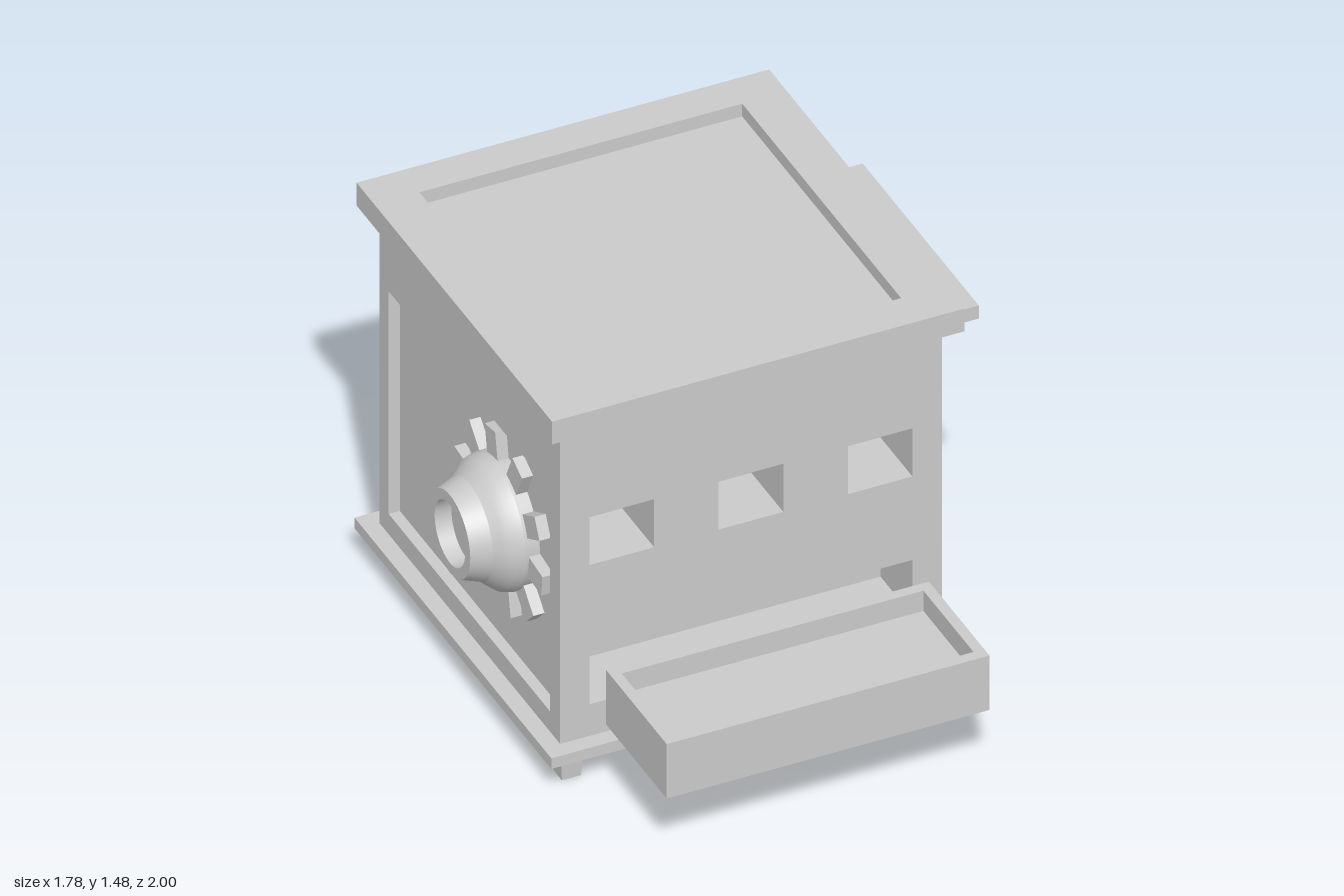
import * as THREE from 'three';

const material = new THREE.MeshStandardMaterial({ color: 0xcccccc, flatShading: true });
const smooth = new THREE.MeshStandardMaterial({ color: 0xcccccc, side: THREE.DoubleSide });

function add(parent, name, geometry, mat = material) {
  const mesh = new THREE.Mesh(geometry, mat);
  mesh.name = name;
  parent.add(mesh);
  return mesh;
}

// Box given by its minimum and maximum on each axis
function box(x0, x1, y0, y1, z0, z1) {
  return new THREE.BoxGeometry(x1 - x0, y1 - y0, z1 - z0)
    .translate((x0 + x1) / 2, (y0 + y1) / 2, (z0 + z1) / 2);
}

function rect(Type, a0, a1, b0, b1) {
  return new Type([[a0, b0], [a1, b0], [a1, b1], [a0, b1]].map(p => new THREE.Vector2(...p)));
}

// Rectangular slab pierced by rectangular holes, extruded along +z
function slab(outer, holes, depth) {
  const shape = rect(THREE.Shape, ...outer);
  shape.holes = holes.map(h => rect(THREE.Path, ...h));
  return new THREE.ExtrudeGeometry(shape, { depth, bevelEnabled: false });
}

// Square frustum standing along y; sizes are half widths
function frustum(top, bottom, height) {
  return new THREE.CylinderGeometry(top * Math.SQRT2, bottom * Math.SQRT2, height, 4).rotateY(Math.PI / 4);
}

export function createModel() {
  const model = new THREE.Group();
  model.name = 'stove';

  // Body: solid core, pierced front, framed left-hand side
  const body = new THREE.Group();
  body.name = 'body';
  model.add(body);
  add(body, 'bodyCore', box(-0.68, 0.64, 0.15, 1.385, -0.94, 0.18));
  const openings = [-0.615, -0.155, 0.305].map(x => [x, x + 0.23, 0.825, 1.015]);
  openings.push([-0.615, 0.535, 0.275, 0.495]);
  add(body, 'frontWall', slab([-0.68, 0.64, 0.15, 1.385], openings, 0.24)).position.z = 0.18;
  add(body, 'sidePanelFrame',
    slab([-0.94, 0.42, 0.15, 1.385], [[-0.87, 0.345, 0.23, 1.11]], 0.04).rotateY(-Math.PI / 2)
  ).position.x = -0.68;

  // Lid with a shallow tray in its top
  const lid = new THREE.Group();
  lid.name = 'lid';
  model.add(lid);
  add(lid, 'lidPlate', box(-0.775, 0.695, 1.385, 1.425, -0.995, 0.475));
  add(lid, 'lidRim',
    slab([-0.775, 0.695, -0.475, 0.995], [[-0.615, 0.535, -0.335, 0.86]], 0.05).rotateX(-Math.PI / 2)
  ).position.y = 1.425;

  // Base plate and tapered feet
  add(model, 'basePlate', box(-0.78, 0.7, 0.108, 0.15, -1, 0.48));
  for (const x of [-0.677, 0.6]) {
    for (const z of [-0.9, 0.38]) {
      add(model, 'foot', frustum(0.042, 0.034, 0.108)).position.set(x, 0.054, z);
    }
  }

  // Drawer, pulled clear of its slot
  const drawer = new THREE.Group();
  drawer.name = 'drawer';
  model.add(drawer);
  add(drawer, 'drawerBottom', box(-0.615, 0.535, 0.275, 0.41, 0.545, 1));
  add(drawer, 'drawerRim',
    slab([-0.615, 0.535, -1, -0.545], [[-0.578, 0.497, -0.96, -0.583]], 0.08).rotateX(-Math.PI / 2)
  ).position.y = 0.41;

  // Handle: two flared mounts, two arms and a bar
  const handle = new THREE.Group();
  handle.name = 'handle';
  model.add(handle);
  const hy = 1.209;
  for (const z of [-0.673, 0.148]) {
    const base = add(handle, 'handleMountBase', frustum(0.053, 0.066, 0.06).rotateZ(-Math.PI / 2));
    base.position.set(0.67, hy, z);
    const tip = add(handle, 'handleMountTip', frustum(0.034, 0.053, 0.07).rotateZ(-Math.PI / 2));
    tip.position.set(0.735, hy, z);
    add(handle, 'handleArm', box(0.76, 0.832, hy - 0.026, hy + 0.026, z - 0.026, z + 0.026));
  }
  add(handle, 'handleBar', box(0.832, 0.888, hy - 0.026, hy + 0.026, -0.699, 0.174));

  // Toothed knob seated in the side panel; built along y, then turned to face -x
  const knob = new THREE.Group();
  knob.name = 'knob';
  knob.position.set(-0.68, 0.73, -0.05);
  model.add(knob);
  const sections = [
    [[0.235, 0], [0.235, 0.05]],
    [[0.235, 0.05], [0.225, 0.085], [0.2, 0.115], [0.178, 0.14]],
    [[0.178, 0.14], [0.153, 0.21]],
    [[0.153, 0.21], [0.115, 0.21]],
    [[0.115, 0.21], [0.115, 0.15]],
    [[0.115, 0.15], [0, 0.15]],
  ];
  for (const points of sections) {
    const profile = points.map(p => new THREE.Vector2(...p));
    add(knob, 'knobTurning', new THREE.LatheGeometry(profile, 48).rotateZ(Math.PI / 2), smooth);
  }
  for (let i = 0; i < 10; i++) {
    const tooth = add(knob, 'knobTooth', box(-0.04, 0, -0.04, 0.04, 0.2, 0.335));
    tooth.rotation.x = -(28 + 36 * i) * Math.PI / 180;
  }
  return model;
}
